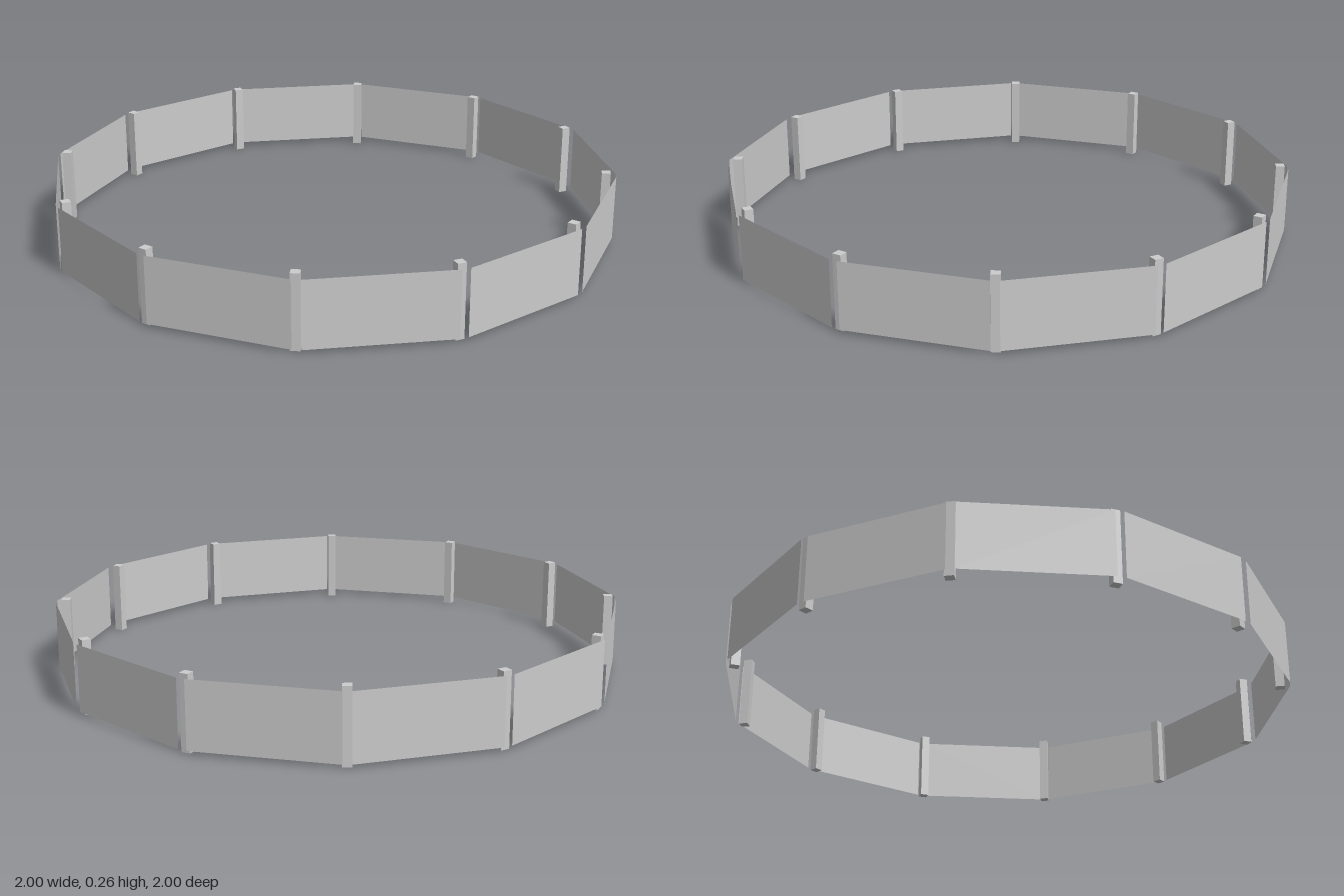
import * as THREE from 'three';

export function createModel() {
  const group = new THREE.Group();
  group.name = 'ringFence';
  const sides = 12;
  const step = (Math.PI * 2) / sides;

  const postMaterial = new THREE.MeshStandardMaterial({ color: 0xcccccc, flatShading: true });
  const panelMaterial = new THREE.MeshStandardMaterial({
    color: 0xcccccc, flatShading: true, side: THREE.DoubleSide,
  });

  // Upright posts just inside each corner, thin flat panels between them
  const postHeight = 0.257, postWidth = 0.031, postRadius = 0.968;
  const panelBottom = 0.014, panelTop = 0.246, panelLength = 0.489, panelRadius = 0.97;
  const postGeometry = new THREE.BoxGeometry(postWidth, postHeight, postWidth);
  const panelGeometry = new THREE.PlaneGeometry(panelLength, panelTop - panelBottom);

  for (let i = 0; i < sides; i++) {
    const postAngle = i * step + 0.003;
    const post = new THREE.Mesh(postGeometry, postMaterial);
    post.name = `post${i + 1}`;
    post.position.set(
      postRadius * Math.cos(postAngle) - 0.003,
      postHeight / 2,
      postRadius * Math.sin(postAngle) - 0.003,
    );
    post.rotation.y = -i * step;
    group.add(post);

    // Each panel faces outward, leaving a narrow gap at the corners
    const panelAngle = (i + 0.5) * step;
    const panel = new THREE.Mesh(panelGeometry, panelMaterial);
    panel.name = `panel${i + 1}`;
    panel.position.set(
      panelRadius * Math.cos(panelAngle),
      (panelBottom + panelTop) / 2,
      panelRadius * Math.sin(panelAngle),
    );
    panel.rotation.y = Math.PI / 2 - panelAngle;
    group.add(panel);
  }
  return group;
}
